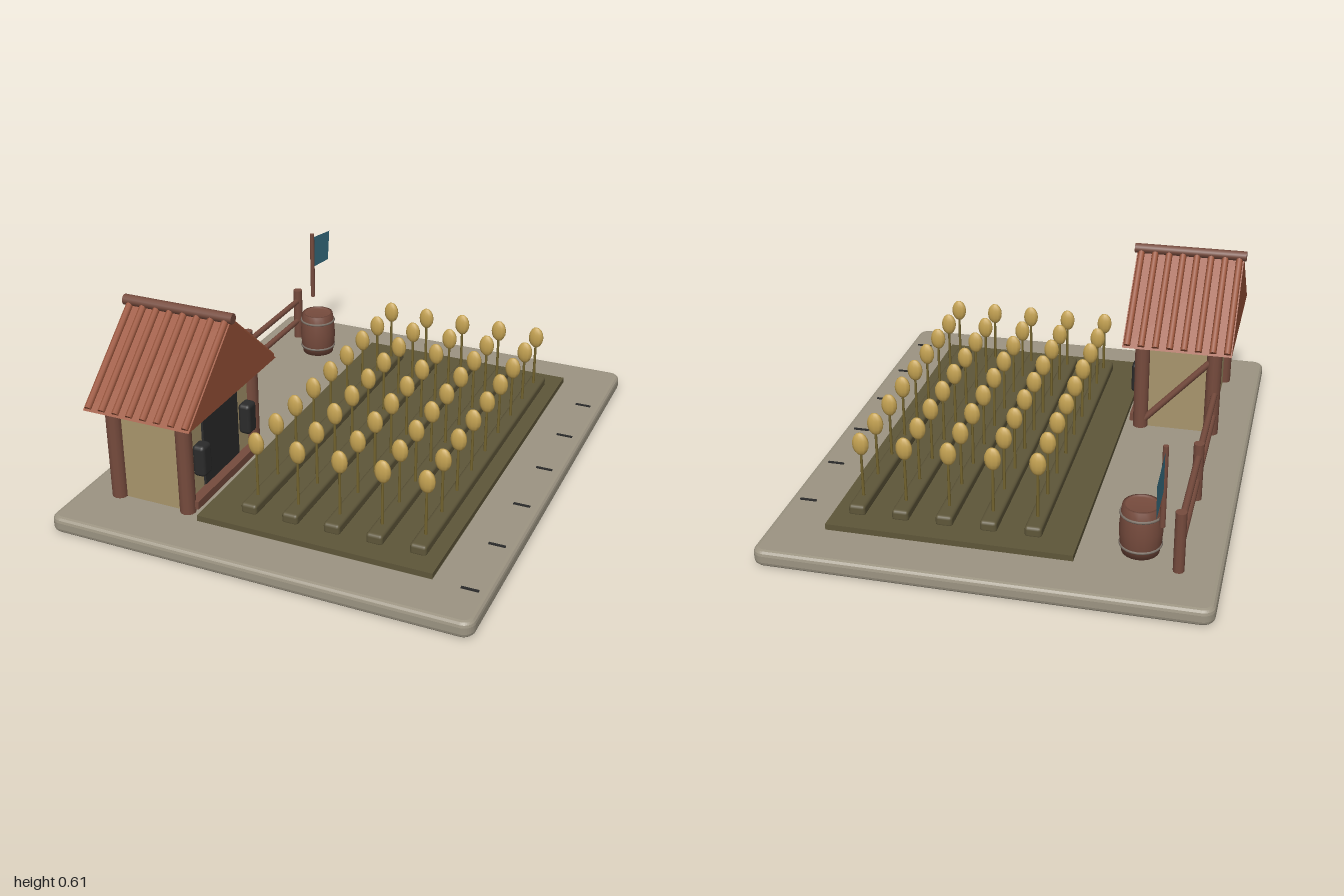
import * as THREE from 'three';
import { RoundedBoxGeometry } from 'three/addons/geometries/RoundedBoxGeometry.js';

function mat(name, color, side = THREE.FrontSide) {
  const m = new THREE.MeshStandardMaterial({ color, side });
  m.name = name;
  return m;
}

export function createModel() {
  const stone = mat('stone', 0x9c9482);
  const soil = mat('soil', 0x5e5639);
  const stalkGreen = mat('stalk', 0x75652f);
  const grain = mat('grain', 0xc4a252);
  const roofRed = mat('roof clay', 0x9a5338);
  const wood = mat('wood', 0x764b3d);
  const plaster = mat('plaster', 0xa8956c);
  const dark = mat('dark', 0x2b2b2b);
  const hoopGrey = mat('hoop', 0x7d7268);
  const cloth = mat('cloth', 0x3a7488, THREE.DoubleSide);

  const model = new THREE.Group();
  model.name = 'farmPlot';
  // The whole plot is laid out square, then turned an eighth of a circle
  const plot = new THREE.Group();
  plot.name = 'plot';
  plot.rotation.y = Math.PI / 4;
  model.add(plot);

  const add = (name, geo, material, x = 0, y = 0, z = 0, parent = plot) => {
    const m = new THREE.Mesh(geo, material);
    m.name = name;
    m.position.set(x, y, z);
    parent.add(m);
    return m;
  };
  const box = (name, material, w, h, d, x, y, z) =>
    add(name, new THREE.BoxGeometry(w, h, d), material, x, y, z);
  // Round bar between two points
  const bar = (name, material, a, b, r, sides = 10) => {
    const p = new THREE.Vector3(...a), q = new THREE.Vector3(...b);
    const m = add(name, new THREE.CylinderGeometry(r, r, p.distanceTo(q), sides), material);
    m.position.copy(p).lerp(q, 0.5);
    m.quaternion.setFromUnitVectors(new THREE.Vector3(0, 1, 0), q.sub(p).normalize());
    return m;
  };

  // Base slab with rounded corners and a bevelled rim
  const hw = 0.772, hd = 0.63, r = 0.02, bevel = 0.015;
  const outline = new THREE.Shape();
  [[hw, hd, 0], [-hw, hd, 1], [-hw, -hd, 2], [hw, -hd, 3]].forEach(([x, y, i]) =>
    outline.absarc(x - Math.sign(x) * r, y - Math.sign(y) * r, r, i * Math.PI / 2, (i + 1) * Math.PI / 2));
  const slab = new THREE.ExtrudeGeometry(outline, {
    depth: 0.02, bevelEnabled: true, bevelSize: bevel, bevelThickness: bevel, bevelSegments: 3, curveSegments: 5,
  });
  slab.rotateX(-Math.PI / 2);
  add('baseSlab', slab, stone, 0, bevel, 0);

  // Small marks along the front edge of the slab
  for (let i = 0; i < 6; i++) box('edgeMark', dark, 0.007, 0.006, 0.05, -0.64 + i * 0.227, 0.051, 0.588);

  // Field with five ridges, nine stalks on each
  box('field', soil, 1.272, 0.02, 0.72, 0, 0.058, 0.12);
  const ridgeGeo = new RoundedBoxGeometry(1.135, 0.035, 0.05, 2, 0.01);
  const stalkGeo = new THREE.CylinderGeometry(0.004, 0.005, 0.15, 6);
  const headGeo = new THREE.SphereGeometry(1, 10, 8);
  headGeo.scale(0.014, 0.036, 0.025);
  for (let row = 0; row < 5; row++) {
    const z = -0.11 + row * 0.13;
    add('ridge', ridgeGeo, soil, 0, 0.079, z);
    for (let i = 0; i < 9; i++) {
      const x = -0.505 + i * 0.126;
      add('stalk', stalkGeo, stalkGreen, x, 0.165, z);
      add('grainHead', headGeo, grain, x, 0.265, z);
    }
  }

  // Hut: corner posts, walls and beams
  const cx = -0.4, cz = -0.405;
  for (const sx of [-1, 1])
    for (const sz of [-1, 1])
      bar('hutPost', wood, [cx + sx * 0.2, 0.045, cz + sz * 0.115], [cx + sx * 0.2, 0.36, cz + sz * 0.115], 0.024, 12);
  box('hutWalls', plaster, 0.4, 0.29, 0.23, cx, 0.195, cz);
  box('doorway', dark, 0.205, 0.28, 0.008, cx, 0.192, cz + 0.118);
  box('doorSill', wood, 0.4, 0.025, 0.03, cx, 0.075, cz + 0.135);
  for (const s of [-1, 1]) {
    box('topBeam', wood, 0.42, 0.022, 0.03, cx, 0.34, cz + s * 0.115);
    box('sideBeam', wood, 0.03, 0.022, 0.23, cx + s * 0.2, 0.34, cz);
    add('lantern', new RoundedBoxGeometry(0.05, 0.1, 0.04, 2, 0.012), dark, cx + s * 0.138, 0.197, cz + 0.135);
  }
  bar('wallBrace', wood, [cx + 0.207, 0.08, cz + 0.1], [cx + 0.207, 0.31, cz - 0.11], 0.011);

  // Gabled roof with ribs down both slopes and a ridge pole
  const half = 0.264, eave = 0.35, apex = 0.583, depth = 0.345;
  const gable = new THREE.Shape([[-half, eave], [half, eave], [0, apex]].map((p) => new THREE.Vector2(...p)));
  add('roof', new THREE.ExtrudeGeometry(gable, { depth, bevelEnabled: false }), roofRed, cx, 0, cz - depth / 2);
  for (let i = 0; i < 8; i++) {
    const z = cz - 0.158 + i * 0.316 / 7;
    for (const s of [-1, 1])
      bar('roofRib', roofRed, [cx + s * (half - 0.004), eave + 0.007, z], [cx, apex + 0.004, z], 0.011, 8);
  }
  bar('ridgePole', wood, [cx, 0.589, cz - 0.18], [cx, 0.589, cz + 0.18], 0.016, 12);

  // Fence along the back
  const fz = -0.527;
  for (const x of [0.226, 0.615]) bar('fencePost', wood, [x, 0.045, fz], [x, 0.235, fz], 0.016);
  for (const y of [0.115, 0.193]) bar('fenceRail', wood, [-0.2, y, fz], [0.615, y, fz], 0.01);

  // Barrel with two hoops
  const staves = [[0, 0], [0.053, 0], [0.059, 0.035], [0.062, 0.075], [0.059, 0.115], [0.054, 0.15], [0.046, 0.15], [0.045, 0.144], [0, 0.144]]
    .map((p) => new THREE.Vector2(...p));
  add('barrel', new THREE.LatheGeometry(staves, 20), wood, 0.537, 0.048, -0.41);
  for (const y of [0.075, 0.172]) {
    const hoop = add('barrelHoop', new THREE.TorusGeometry(0.058, 0.004, 6, 24), hoopGrey, 0.537, y, -0.41);
    hoop.rotation.x = Math.PI / 2;
  }

  // Flag on its pole
  bar('flagPole', wood, [0.65, 0.205, -0.482], [0.65, 0.447, -0.482], 0.008);
  const flag = new THREE.Shape([[0.655, 0.432], [0.797, 0.41], [0.782, 0.303], [0.655, 0.318]].map((p) => new THREE.Vector2(...p)));
  add('flag', new THREE.ShapeGeometry(flag), cloth, 0, 0, -0.482);

  return model;
}
